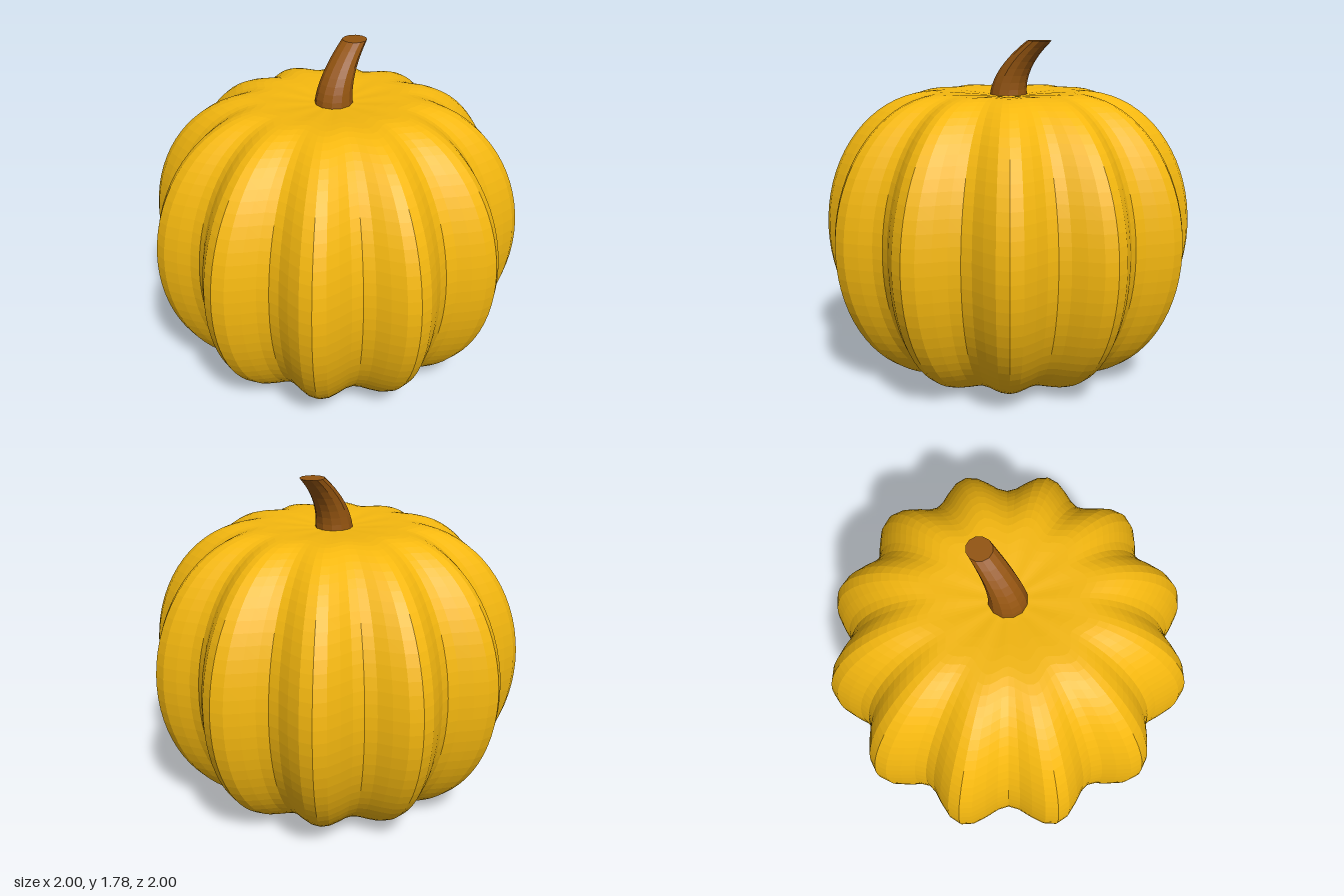
import * as THREE from 'three';

const HALF = 0.757;    // half height of the body
const LOBES = 12;

// Half outline from bottom pole to top pole: shallow dimples joined by a round flank
function bodyProfile() {
  const points = [];
  const rim = 0.4, dip = 0.02, capSteps = 6, flankSteps = 36;
  const cap = (i, side) => {
    const t = i / capSteps;
    const y = HALF - dip * (0.5 + 0.5 * Math.cos(Math.PI * t));
    return new THREE.Vector2(rim * t, HALF + side * y);
  };
  for (let i = 0; i < capSteps; i++) points.push(cap(i, -1));
  for (let i = 0; i <= flankSteps; i++) {
    const a = (i / flankSteps - 0.5) * Math.PI;
    points.push(new THREE.Vector2(rim + (1 - rim) * Math.cos(a), HALF + HALF * Math.sin(a)));
  }
  for (let i = capSteps - 1; i >= 0; i--) points.push(cap(i, 1));
  return points;
}

// Lathe whose radius swells and shrinks around the axis to form the ribs
function createBody() {
  const geometry = new THREE.LatheGeometry(bodyProfile(), LOBES * 8);
  const p = geometry.attributes.position;
  for (let i = 0; i < p.count; i++) {
    const x = p.getX(i), z = p.getZ(i);
    const scale = 0.935 + 0.065 * Math.cos(LOBES * Math.atan2(x, z));
    p.setX(i, x * scale);
    p.setZ(i, z * scale);
  }
  geometry.computeVertexNormals();
  const body = new THREE.Mesh(geometry, new THREE.MeshStandardMaterial({ color: 0xf5b80f, flatShading: true }));
  body.name = 'ribbedBody';
  return body;
}

// Tapered cylinder bent towards +x, its cut end kept level
function createStem() {
  const bottom = 1.49, top = 1.783, height = top - bottom;
  const geometry = new THREE.CylinderGeometry(0.065, 0.1, height, 12, 8);
  const p = geometry.attributes.position;
  for (let i = 0; i < p.count; i++) {
    const t = p.getY(i) / height + 0.5;
    p.setX(i, p.getX(i) + 0.185 * t * t);
  }
  geometry.computeVertexNormals();
  const stem = new THREE.Mesh(geometry, new THREE.MeshStandardMaterial({ color: 0x935410, flatShading: true }));
  stem.name = 'stem';
  stem.position.y = (bottom + top) / 2;
  return stem;
}

export function createModel() {
  const group = new THREE.Group();
  group.name = 'pumpkin';
  group.add(createBody(), createStem());
  return group;
}
